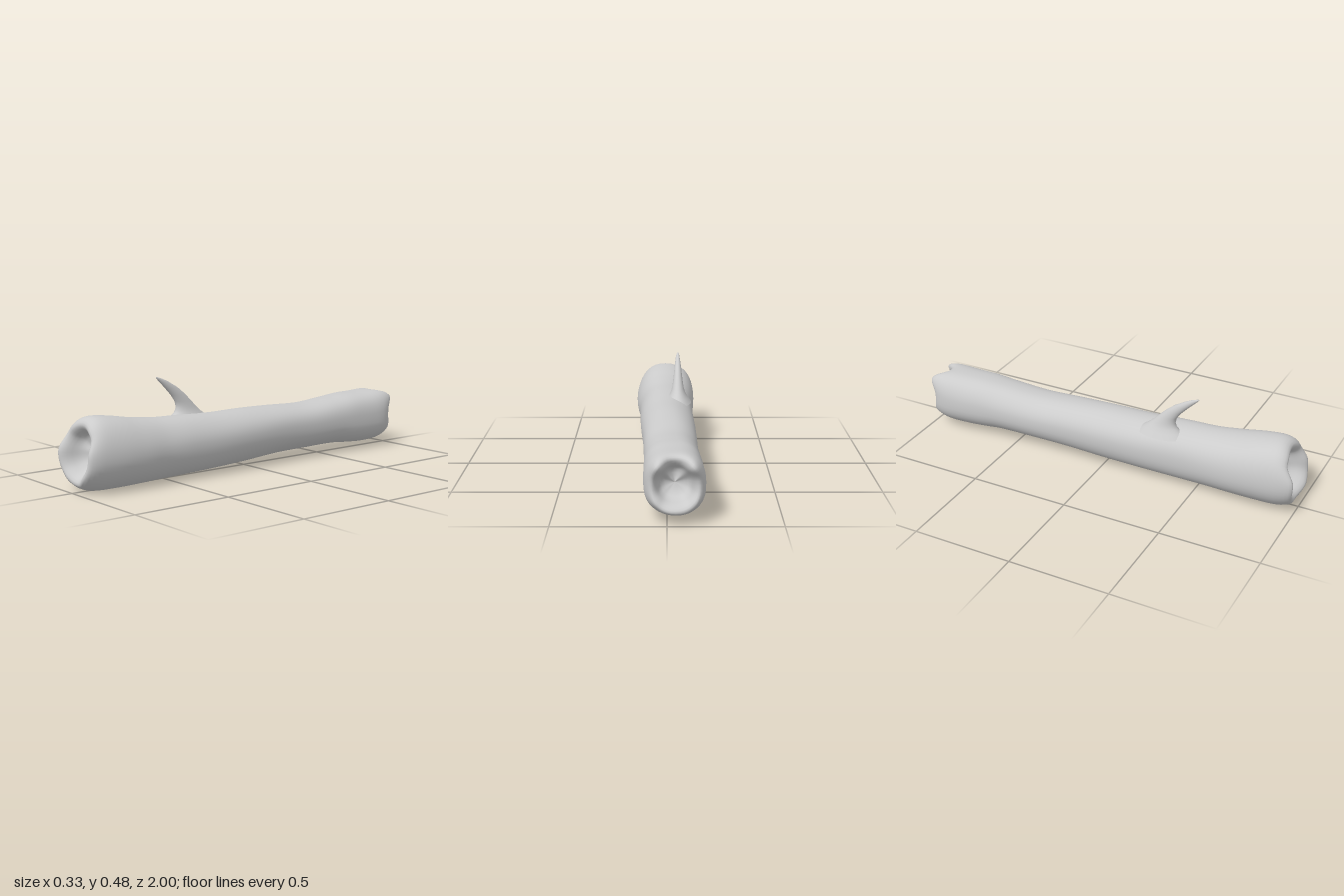
import * as THREE from 'three';

const SEG = 48;

// Skin a stack of closed rings (arrays of Vector3) with smooth normals.
function loft(rings, name, material) {
  const pos = [], index = [], n = rings[0].length;
  rings.forEach((ring) => ring.forEach((p) => pos.push(p.x, p.y, p.z)));
  for (let i = 0; i < rings.length - 1; i++) {
    for (let j = 0; j < n; j++) {
      const k = (j + 1) % n;
      const a = i * n + j, b = i * n + k, c = (i + 1) * n + k, d = (i + 1) * n + j;
      index.push(a, b, c, a, c, d);
    }
  }
  const geo = new THREE.BufferGeometry();
  geo.setAttribute('position', new THREE.Float32BufferAttribute(pos, 3));
  geo.setIndex(index);
  geo.computeVertexNormals();
  const mesh = new THREE.Mesh(geo, material);
  mesh.name = name;
  return mesh;
}

// Smooth value around the circle from evenly spaced samples.
function around(values, angle) {
  const n = values.length;
  const u = (angle / (Math.PI * 2)) * n, i = Math.floor(u), f = u - i;
  const s = f * f * (3 - 2 * f);
  return values[i % n] * (1 - s) + values[(i + 1) % n] * s;
}

// Shaft stations: z, xMin, xMax, yMin, yMax, squareness
const STATIONS = [
  [-0.97, -0.162, 0.088, 0.035, 0.305, 2.5],
  [-0.9, -0.168, 0.1, 0.025, 0.3, 2.5],
  [-0.8, -0.166, 0.105, 0.022, 0.296, 2.4],
  [-0.7, -0.161, 0.106, 0.028, 0.294, 2.4],
  [-0.6, -0.155, 0.106, 0.036, 0.286, 2.3],
  [-0.4, -0.147, 0.11, 0.036, 0.272, 2.3],
  [-0.2, -0.145, 0.116, 0.034, 0.279, 2.3],
  [0, -0.144, 0.126, 0.022, 0.285, 2.2],
  [0.2, -0.14, 0.135, 0.015, 0.285, 2.2],
  [0.4, -0.136, 0.14, 0.01, 0.294, 2.2],
  [0.55, -0.138, 0.146, 0.006, 0.3, 2.1],
  [0.68, -0.146, 0.16, 0.003, 0.315, 2.1],
  [0.8, -0.149, 0.165, 0.001, 0.336, 2.1],
  [0.9, -0.146, 0.16, 0.002, 0.345, 2.1],
  [0.97, -0.138, 0.155, 0.01, 0.332, 2.1],
];
const STEP = 0.025;
const sections = [0, 1, 2, 3, 4].map((k) => new THREE.CatmullRomCurve3(
  STATIONS.map((s) => new THREE.Vector3(s[0], s[k + 1], 0))));

function sectionAt(z) {
  const last = STATIONS.length - 1;
  const c = THREE.MathUtils.clamp(z, STATIONS[0][0], STATIONS[last][0]);
  let i = 0;
  while (i < last - 1 && STATIONS[i + 1][0] < c) i++;
  const f = (c - STATIONS[i][0]) / (STATIONS[i + 1][0] - STATIONS[i][0]);
  return sections.map((curve) => curve.getPoint((i + f) / last).y);
}

// Point on the shaft surface, shrunk towards its axis by scale.
function shaftPoint(angle, z, scale) {
  const [x0, x1, y0, y1, power] = sectionAt(z);
  const c = Math.cos(angle), s = Math.sin(angle), e = 2 / power;
  // shallow lengthwise hollow along the lower flank
  const hollow = 0.06 * Math.exp(-(((angle - 5.5) / 0.4) ** 2)) * Math.exp(-(((z + 0.25) / 0.4) ** 2));
  const r = scale * (1 - hollow + 0.008 * Math.sin(5 * angle + 3 * z));
  return new THREE.Vector3(
    (x0 + x1) / 2 + ((x1 - x0) / 2) * r * Math.sign(c) * Math.abs(c) ** e,
    (y0 + y1) / 2 + ((y1 - y0) / 2) * r * Math.sign(s) * Math.abs(s) ** e,
    z);
}

// Lobed rim heights every 45 degrees, starting at +x
const FRONT_RIM = [0.99, 0.955, 0.942, 0.955, 1, 0.99, 0.98, 1];
const BACK_RIM = [0.965, 1, 0.935, 1, 0.965, 0.985, 0.998, 0.985];
// Lip and cup profile: share of the way to the rim, scale
const LIP = [
  [0.15, 1], [0.3, 1], [0.45, 1], [0.6, 0.995], [0.72, 0.985], [0.83, 0.965], [0.92, 0.93],
  [0.98, 0.88], [1, 0.82], [0.985, 0.76], [0.94, 0.69], [0.86, 0.62], [0.75, 0.56],
  [0.64, 0.5], [0.55, 0.42], [0.49, 0.3], [0.46, 0.15], [0.45, 0.001],
];

const ring = (fn) => Array.from({ length: SEG }, (_, j) => fn((j / SEG) * Math.PI * 2));

function endRings(rim, sign) {
  return LIP.map(([t, scale]) => ring((a) => {
    // lobes fade out towards the floor of the cup
    const fade = Math.min(1, scale / 0.5);
    const top = THREE.MathUtils.lerp(0.97, around(rim, a), fade);
    return shaftPoint(a, sign * (0.8 + (top - 0.8) * t), scale);
  }));
}

function createShaft(material) {
  const body = [];
  for (let i = -32; i <= 32; i++) body.push(ring((a) => shaftPoint(a, i * STEP, 1)));
  return loft([...endRings(BACK_RIM, -1).reverse(), ...body, ...endRings(FRONT_RIM, 1)], 'shaft', material);
}

// Curved thorn: height, centre z, half depth, half width
const THORN = [
  [0.25, 0.305, 0.13, 0.07], [0.275, 0.305, 0.1, 0.053], [0.295, 0.308, 0.075, 0.04],
  [0.32, 0.317, 0.056, 0.031], [0.35, 0.335, 0.045, 0.026], [0.385, 0.365, 0.04, 0.021],
  [0.42, 0.403, 0.035, 0.017], [0.45, 0.443, 0.025, 0.012], [0.468, 0.47, 0.016, 0.008],
  [0.477, 0.487, 0.006, 0.004], [0.478, 0.49, 0.0005, 0.0005],
];

function createThorn(material) {
  const rings = THORN.map(([y, z, hz, hx]) => ring((a) =>
    new THREE.Vector3(-0.057 + hx * Math.cos(a), y, z - hz * Math.sin(a))));
  return loft(rings, 'thorn', material);
}

export function createModel() {
  const group = new THREE.Group();
  group.name = 'thornedShaft';
  const material = new THREE.MeshStandardMaterial({ color: 0xcccccc });
  group.add(createShaft(material), createThorn(material));
  return group;
}
